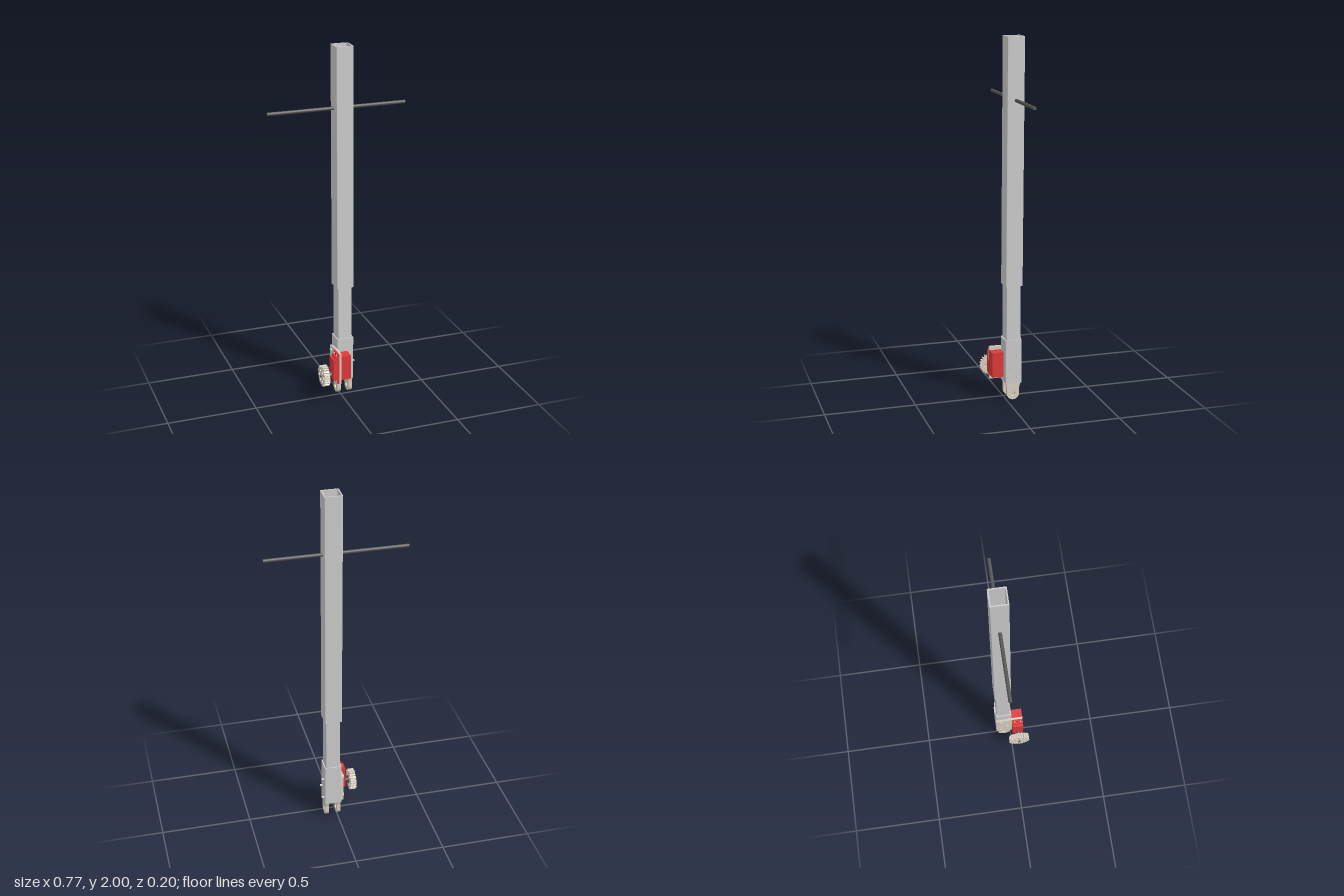
import * as THREE from 'three';

const grey = new THREE.MeshStandardMaterial({ color: 0xcccccc });
const plastic = new THREE.MeshStandardMaterial({ color: 0xd8d0c0 });
const dark = new THREE.MeshStandardMaterial({ color: 0x555555 });
const red = new THREE.MeshStandardMaterial({ color: 0xdd3838 });

const CX = 0.027; // centre line of the column

function roundRect(target, w, h, r) {
  const x = w / 2, y = h / 2;
  target.absarc(x - r, y - r, r, 0, Math.PI / 2);
  target.absarc(-x + r, y - r, r, Math.PI / 2, Math.PI);
  target.absarc(-x + r, -y + r, r, Math.PI, Math.PI * 1.5);
  target.absarc(x - r, -y + r, r, Math.PI * 1.5, Math.PI * 2);
  target.closePath();
  return target;
}

// Vertical square tube, base at y = 0
function tubeGeometry(w, d, wall, height) {
  const shape = roundRect(new THREE.Shape(), w, d, 0.004);
  shape.holes.push(roundRect(new THREE.Path(), w - 2 * wall, d - 2 * wall, 0.002));
  return new THREE.ExtrudeGeometry(shape, { depth: height, bevelEnabled: false, curveSegments: 3 })
    .rotateX(-Math.PI / 2);
}

// Extrude a (z, y) outline along x, from x0 to x1
function sideExtrude(shape, x0, x1) {
  return new THREE.ExtrudeGeometry(shape, { depth: x1 - x0, bevelEnabled: false, curveSegments: 12 })
    .rotateY(-Math.PI / 2).scale(1, 1, 1).translate(x1, 0, 0);
}

function hole(shape, z, y, r) {
  const p = new THREE.Path();
  p.absarc(z, y, r, 0, Math.PI * 2, true);
  shape.holes.push(p);
}

export function createModel() {
  const model = new THREE.Group();
  model.name = 'column';

  const add = (name, geometry, material, parent = model) => {
    const mesh = new THREE.Mesh(geometry, material);
    mesh.name = name;
    parent.add(mesh);
    return mesh;
  };
  const box = (name, x0, x1, y0, y1, z0, z1, mat, parent) =>
    add(name, new THREE.BoxGeometry(x1 - x0, y1 - y0, z1 - z0)
      .translate((x0 + x1) / 2, (y0 + y1) / 2, (z0 + z1) / 2), mat, parent);
  const rod = (name, x0, x1, y, z, r, mat, sides = 16, parent = model) =>
    add(name, new THREE.CylinderGeometry(r, r, x1 - x0, sides)
      .rotateZ(Math.PI / 2).translate((x0 + x1) / 2, y, z), mat, parent);

  // Telescoping column, the upper tube leaning slightly back
  const outer = add('outerTube', tubeGeometry(0.096, 0.095, 0.007, 1.35), grey);
  outer.position.set(CX, 0.65, -0.043);
  outer.rotation.x = -0.0067;
  const inner = add('innerTube', tubeGeometry(0.081, 0.081, 0.006, 0.62), grey);
  inner.position.set(CX, 0.13, -0.04);
  inner.rotation.x = -0.004;
  const sleeve = add('lowerSleeve', tubeGeometry(0.096, 0.092, 0.006, 0.25), grey);
  sleeve.position.set(CX, 0.095, -0.04);
  box('sleeveTab', CX - 0.015, CX + 0.015, 0.325, 0.347, -0.091, -0.085, grey);

  // Cross handle
  rod('crossRod', -0.385, 0.385, 1.665, -0.052, 0.0095, dark);

  // Clevis foot: two rounded lugs under a plug
  const foot = new THREE.Group();
  foot.name = 'clevisFoot';
  model.add(foot);
  for (const [x0, x1] of [[-0.018, 0.003], [0.049, 0.071]]) {
    const lug = new THREE.Shape();
    lug.moveTo(-0.082, 0.1);
    lug.lineTo(-0.073, 0.07);
    lug.absarc(-0.038, 0.035, 0.035, Math.PI, Math.PI * 2);
    lug.lineTo(-0.003, 0.07);
    lug.lineTo(0.003, 0.1);
    lug.closePath();
    hole(lug, -0.038, 0.035, 0.013);
    add('lug', sideExtrude(lug, x0, x1), plastic, foot);
  }
  box('plug', -0.013, 0.067, 0.09, 0.13, -0.08, 0, plastic, foot);

  // Bolts through the sleeve
  for (const [y, z] of [[0.255, -0.06], [0.187, -0.022], [0.13, -0.06]]) {
    rod('bolt', -0.034, 0.09, y, z, 0.006, grey, 12);
    rod('boltHead', -0.04, -0.033, y, z, 0.012, grey, 6);
  }

  // Motor mounting plate with window for the motor body
  const plate = new THREE.Shape();
  plate.moveTo(-0.086, 0.11);
  plate.lineTo(0.004, 0.1);
  plate.lineTo(0.072, 0.1);
  plate.lineTo(0.072, 0.288);
  plate.lineTo(0.004, 0.288);
  plate.lineTo(-0.086, 0.275);
  plate.closePath();
  const win = new THREE.Path();
  win.moveTo(0.01, 0.128);
  win.lineTo(0.01, 0.264);
  win.lineTo(0.069, 0.264);
  win.lineTo(0.069, 0.128);
  win.closePath();
  plate.holes.push(win);
  add('mountPlate', sideExtrude(plate, -0.033, -0.021), plastic);

  // Motor
  const motor = new THREE.Group();
  motor.name = 'motor';
  model.add(motor);
  box('motorBody', -0.055, 0.037, 0.125, 0.267, 0.007, 0.072, red, motor);
  box('motorCap', -0.068, -0.055, 0.13, 0.255, 0.008, 0.071, red, motor);
  box('motorFlange', -0.043, -0.033, 0.103, 0.285, 0.008, 0.071, red, motor);
  for (const y of [0.113, 0.276]) for (const z of [0.022, 0.058])
    rod('flangeScrew', -0.047, -0.019, y, z, 0.005, grey, 10, motor);
  for (const y of [0.135, 0.257]) for (const z of [0.016, 0.063])
    rod('caseScrew', 0.036, 0.038, y, z, 0.004, dark, 10, motor);

  // Drive shaft, hub and spur gear
  const GY = 0.154, GZ = 0.04;
  rod('shaft', -0.135, -0.06, GY, GZ, 0.006, dark);
  rod('shaftCollar', -0.09, -0.066, GY, GZ, 0.011, dark);
  rod('hubDisc', -0.094, -0.088, GY, GZ, 0.023, dark, 20);
  const gear = new THREE.Shape();
  const teeth = 22;
  for (let i = 0; i < teeth; i++) {
    [[0, 0.051], [0.25, 0.051], [0.38, 0.06], [0.72, 0.06], [0.87, 0.051]].forEach(([f, r], k) => {
      const a = (i + f) / teeth * Math.PI * 2;
      const z = GZ + r * Math.cos(a), y = GY + r * Math.sin(a);
      if (i + k === 0) gear.moveTo(z, y); else gear.lineTo(z, y);
    });
  }
  gear.closePath();
  for (let i = 0; i < 6; i++) {
    const a = i / 6 * Math.PI * 2;
    hole(gear, GZ + 0.032 * Math.cos(a), GY + 0.032 * Math.sin(a), 0.009);
  }
  add('gear', sideExtrude(gear, -0.128, -0.094), plastic);

  return model;
}
